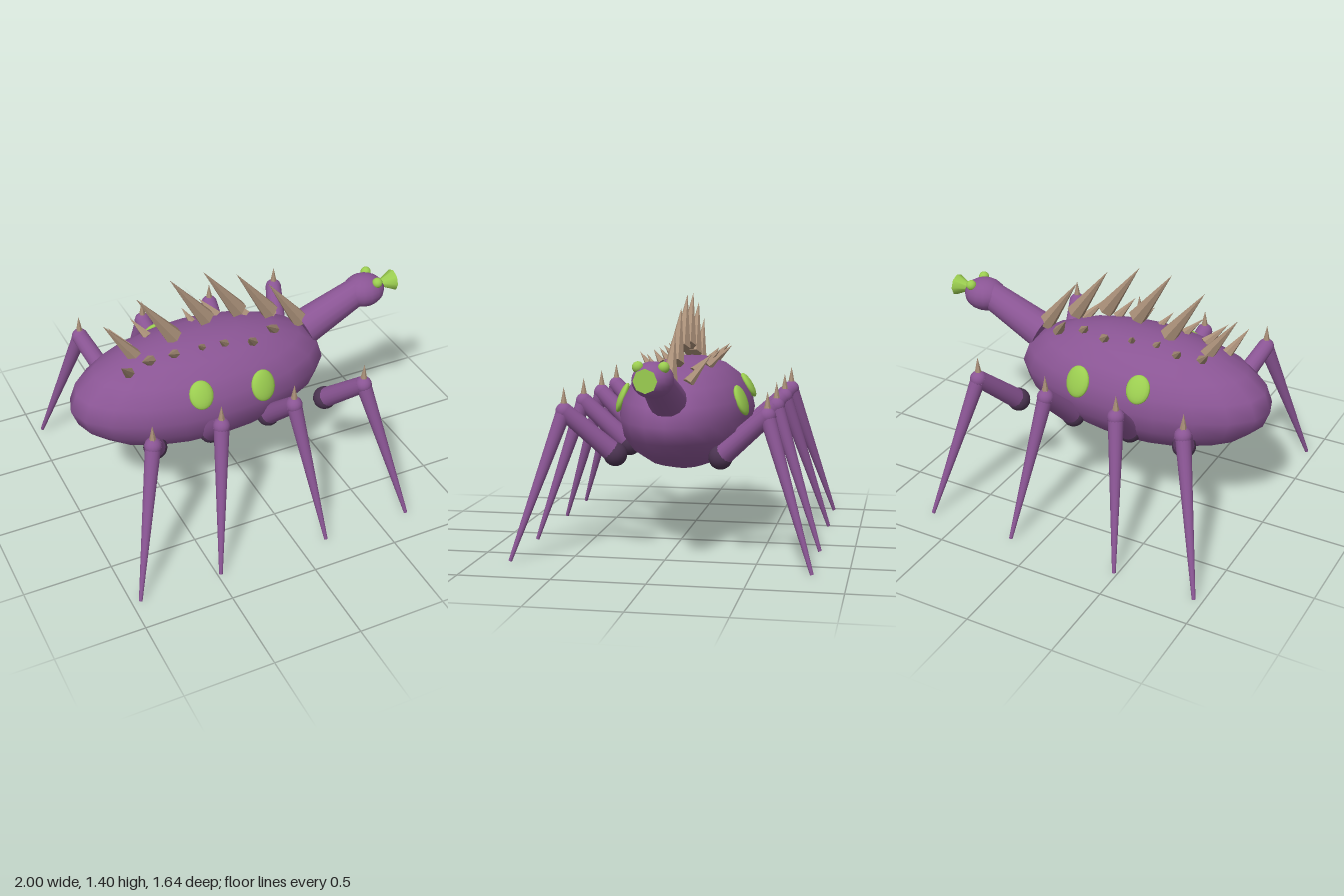
import * as THREE from 'three';

const V = (x, y, z) => new THREE.Vector3(x, y, z);
const UP = V(0, 1, 0);

function material(name, color, flatShading = false) {
  const m = new THREE.MeshStandardMaterial({ color, flatShading });
  m.name = name;
  return m;
}

export function createModel() {
  const purple = material('purple skin', 0x8a5594);
  const dark = material('dark joint', 0x4a3350);
  const green = material('green glow', 0x9bcd50);
  const tan = material('tan horn', 0xa98f78, true);

  const model = new THREE.Group();
  model.name = 'spinyCreature';

  const add = (parent, name, geometry, mat) => {
    const mesh = new THREE.Mesh(geometry, mat);
    mesh.name = name;
    parent.add(mesh);
    return mesh;
  };
  // Tapered rod from point a to point b
  const rod = (parent, name, a, b, ra, rb, mat, sides = 16) => {
    const dir = b.clone().sub(a);
    const mesh = add(parent, name, new THREE.CylinderGeometry(rb, ra, dir.length(), sides), mat);
    mesh.position.copy(a).add(b).multiplyScalar(0.5);
    mesh.quaternion.setFromUnitVectors(UP, dir.normalize());
    return mesh;
  };
  const spike = (parent, name, a, b, r) => rod(parent, name, a, b, r, 0, tan, 6);
  const ball = (parent, name, p, r, mat) => {
    const mesh = add(parent, name, new THREE.SphereGeometry(r, 16, 12), mat);
    mesh.position.copy(p);
    return mesh;
  };

  // Body ellipsoid
  const C = V(-0.24, 0.72, 0), R = V(0.76, 0.32, 0.38);
  const body = add(model, 'body', new THREE.SphereGeometry(1, 20, 10), purple);
  body.position.copy(C);
  body.scale.copy(R);

  // Neck, head, eyes and flared snout
  rod(model, 'neck', V(0.42, 0.862, 0), V(0.78, 1.025, 0), 0.106, 0.08, purple);
  ball(model, 'head', V(0.805, 1.015, 0), 1, purple).scale.set(0.125, 0.095, 0.11);
  for (const s of [1, -1]) ball(model, 'eye', V(0.855, 1.085, s * 0.067), 0.03, green);
  rod(model, 'snout', V(0.9, 1.03, 0), V(1, 1.03, 0), 0.014, 0.063, green, 8);

  // Large spine horns leaning backwards
  const hornTips = [[-0.785, 1.22], [-0.59, 1.335], [-0.395, 1.4], [-0.2, 1.4], [-0.005, 1.335], [0.19, 1.22]];
  for (const [x, y] of hornTips) {
    spike(model, 'spineHorn', V(x + 0.205, y - 0.295, 0), V(x, y, 0), 0.053);
  }

  // Small irregular back spikes: base x, base z, tip x, tip z, radius
  const backSpikes = [
    [-0.62, -0.08, -0.7, -0.176, 0.03], [-0.49, -0.12, -0.555, -0.21, 0.027],
    [-0.36, -0.105, -0.41, -0.155, 0.022], [-0.22, -0.12, -0.255, -0.185, 0.023],
    [-0.06, -0.14, -0.13, -0.23, 0.03], [0.1, -0.09, 0.02, -0.18, 0.028],
    [0.265, -0.085, 0.155, -0.19, 0.033],
    [-0.69, 0.105, -0.77, 0.21, 0.032], [-0.56, 0.095, -0.65, 0.2, 0.032],
    [-0.425, 0.115, -0.5, 0.2, 0.028], [-0.27, 0.13, -0.32, 0.19, 0.022],
    [-0.14, 0.14, -0.2, 0.2, 0.025], [0.02, 0.16, -0.05, 0.25, 0.03],
    [0.19, 0.08, 0.09, 0.18, 0.032],
  ];
  for (const [bx, bz, tx, tz, r] of backSpikes) {
    const y = C.y + R.y * Math.sqrt(1 - ((bx - C.x) / R.x) ** 2 - (bz / R.z) ** 2);
    spike(model, 'backSpike', V(bx, y - 0.01, bz), V(tx, 1.077, tz), r);
  }

  for (const s of [1, -1]) {
    // Raised side spots lying along the body surface
    for (const [x, y, w, h] of [[-0.37, 0.86, 0.068, 0.08], [-0.005, 0.815, 0.075, 0.09]]) {
      const dx = (x - C.x) / R.x, dy = (y - C.y) / R.y;
      const z = s * R.z * Math.sqrt(1 - dx * dx - dy * dy);
      const spot = ball(model, 'sideSpot', V(x, y, z), 1, green);
      spot.scale.set(w, h, 0.026);
      spot.lookAt(V(x + dx / R.x, y + dy / R.y, z + z / R.z ** 2));
    }

    // Four jointed legs: hip x, knee x, foot x
    for (const [hx, kx, fx] of [[0.415, 0.505, 0.685], [0.055, 0.077, 0.166], [-0.3, -0.352, -0.482], [-0.63, -0.742, -0.952]]) {
      const leg = new THREE.Group();
      leg.name = s > 0 ? 'nearLeg' : 'farLeg';
      model.add(leg);
      const hip = V(hx, 0.558, s * 0.29), knee = V(kx, 0.8, s * 0.552), foot = V(fx, 0.003, s * 0.812);
      ball(leg, 'hipJoint', hip, 0.066, dark);
      rod(leg, 'upperLeg', hip, knee, 0.057, 0.047, purple);
      ball(leg, 'kneeJoint', knee, 0.047, purple);
      rod(leg, 'lowerLeg', knee, foot, 0.043, 0.01, purple);
      spike(leg, 'kneeSpike', V(kx, 0.825, s * 0.552), V(kx, 0.932, s * 0.552), 0.022);
    }
  }
  return model;
}
